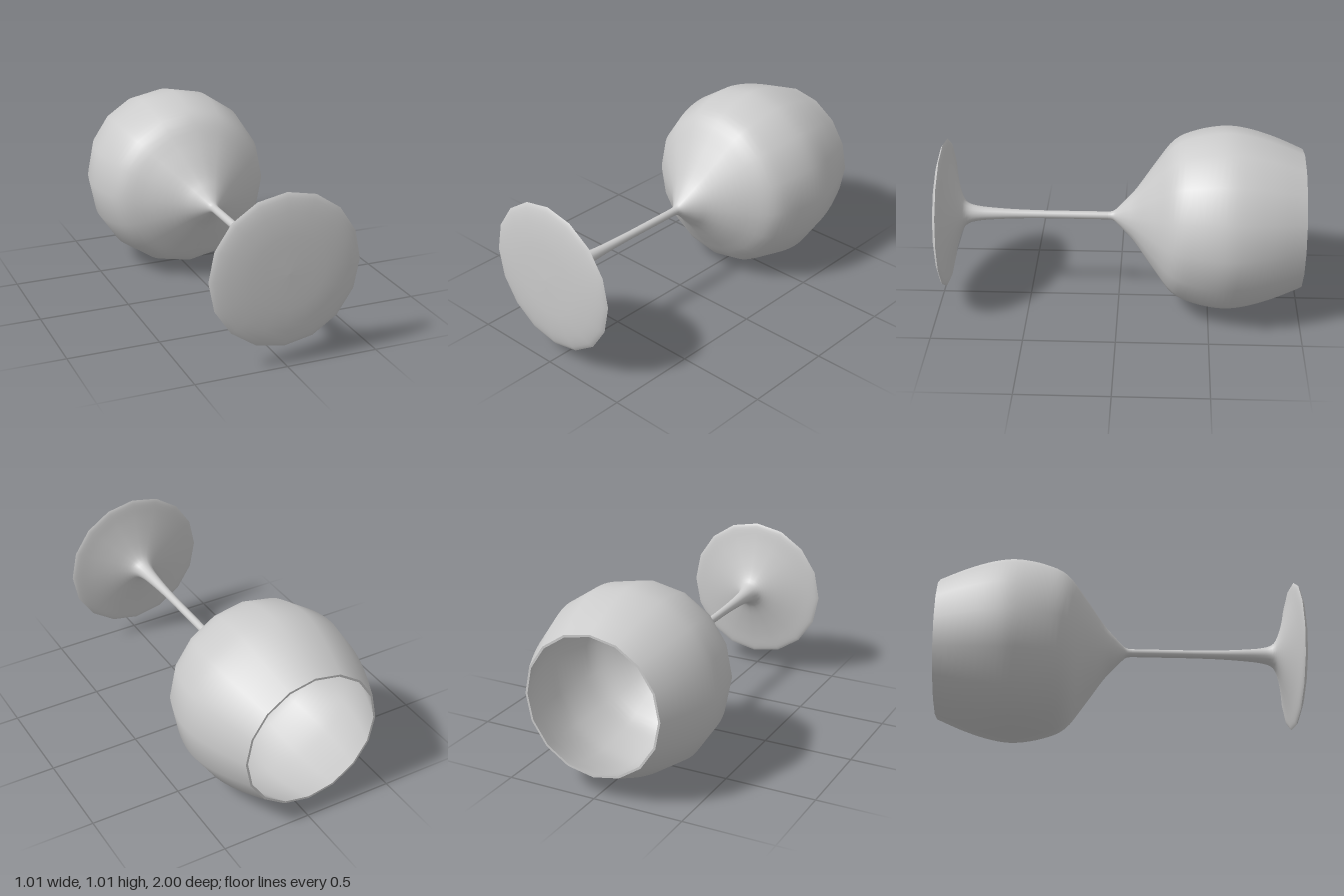
import * as THREE from 'three';

const SIDES = 16;
const material = new THREE.MeshStandardMaterial({ color: 0xcccccc });

// Turned part: smooth curve through [radius, height] points, spun about y
function turned(name, points, samples) {
  const curve = new THREE.SplineCurve(points.map(([r, y]) => new THREE.Vector2(r, y)));
  const profile = samples ? curve.getPoints(samples) : curve.points;
  profile.forEach((p) => { p.x = Math.max(p.x, 0); });
  const mesh = new THREE.Mesh(new THREE.LatheGeometry(profile, SIDES), material);
  mesh.name = name;
  return mesh;
}

export function createModel() {
  const model = new THREE.Group();
  model.name = 'wineGlass';

  const glass = new THREE.Group();
  glass.name = 'glass';
  model.add(glass);

  // Slightly domed underside of the foot
  glass.add(turned('footUnderside', [
    [0, -1], [0.2, -0.995], [0.32, -0.983], [0.385, -0.968], [0.41, -0.955],
  ], 12));

  // Upper foot sweeping into the stem
  glass.add(turned('footTop', [
    [0.41, -0.955], [0.385, -0.945], [0.3, -0.928], [0.2, -0.903], [0.11, -0.873],
    [0.062, -0.84], [0.042, -0.78], [0.032, -0.68], [0.025, -0.55], [0.022, -0.4],
  ], 32));

  // Straight stem
  glass.add(turned('stem', [[0.022, -0.4], [0.022, -0.06]]));

  // Outside of the bowl, flaring from the stem to the belly and back in
  const belly = [
    [0.16, 0.1], [0.3, 0.2], [0.425, 0.3], [0.48, 0.42],
    [0.506, 0.57], [0.493, 0.7], [0.448, 0.85], [0.385, 1],
  ];
  glass.add(turned('bowlOutside', [
    [0.022, -0.06], [0.027, -0.03], [0.052, 0], [0.098, 0.045], ...belly,
  ], 44));

  // Thin rim and inner wall, running down to the bottom of the bowl
  const wall = 0.012;
  glass.add(turned('rim', [[0.385, 1], [0.385 - wall, 1]]));
  const inner = belly.map(([r, y]) => [r - wall, y]).reverse();
  glass.add(turned('bowlInside', [...inner, [0.07, 0.045], [0, 0.02]], 40));

  // Lay the glass on its belly with the foot towards the front
  glass.rotation.x = -Math.PI / 2;
  glass.position.y = 0.507;
  return model;
}
